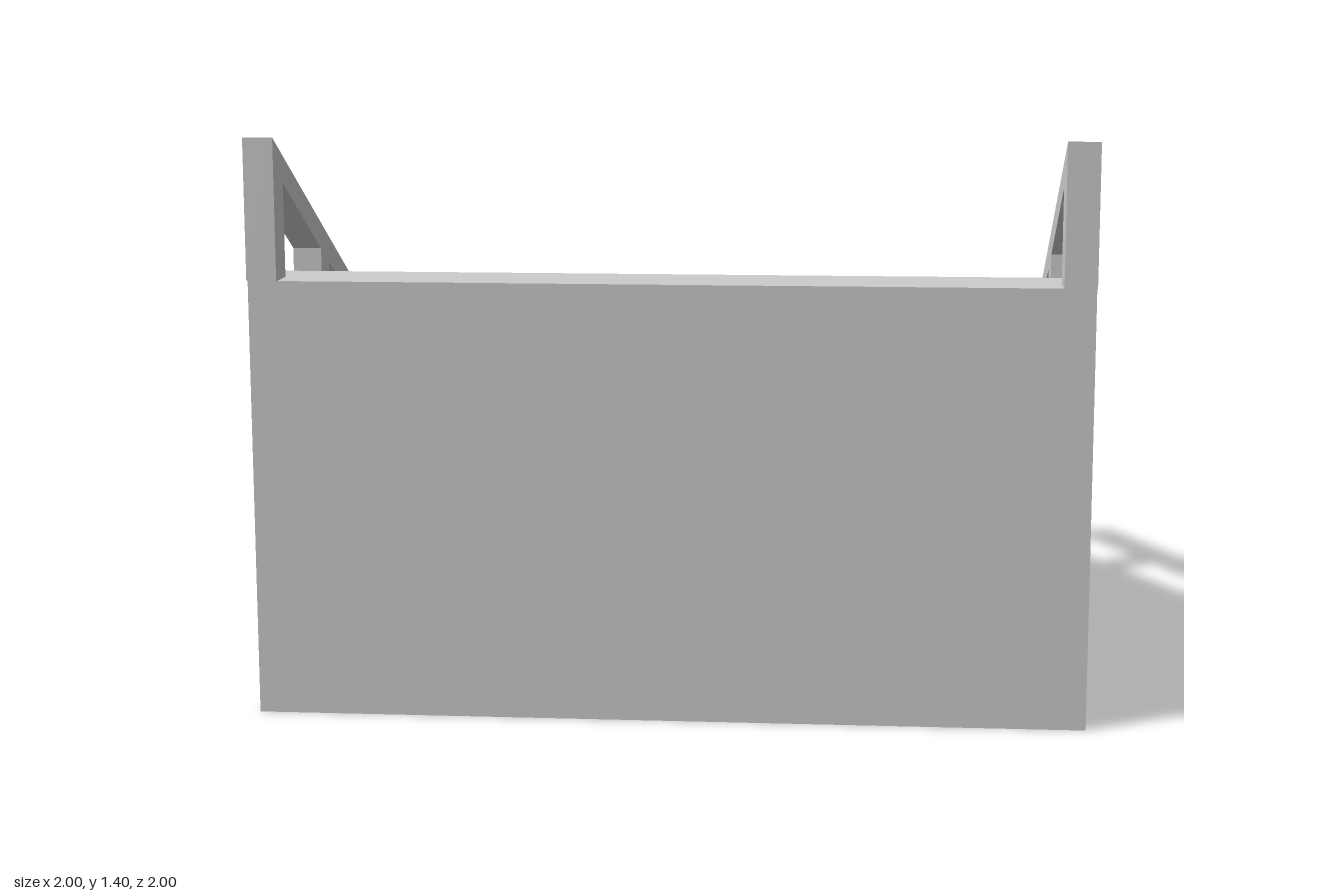
import * as THREE from 'three';

const material = new THREE.MeshStandardMaterial({ color: 0xcccccc, flatShading: true });

// Side profile of [z, y] points, extruded across x from x0 to x1.
function slab(name, profile, x0, x1) {
  const shape = new THREE.Shape(profile.map(([z, y]) => new THREE.Vector2(-z, y)));
  const geometry = new THREE.ExtrudeGeometry(shape, { depth: x1 - x0, bevelEnabled: false });
  geometry.rotateY(Math.PI / 2).translate(x0, 0, 0);
  const mesh = new THREE.Mesh(geometry, material);
  mesh.name = name;
  return mesh;
}

const STEPS = 8;
const TOP = { z: 0.79, y: 1.06 };      // edge of the landing
const BOTTOM = { z: -0.85, y: 0.12 };  // lowest nosing
const FRONT = 0.992, BACK = -0.992;
const INNER = 0.905;                   // half width of the flight

const railY = z => 0.35 + (z + 0.995) * (1.05 / 1.995);
const slopeY = z => BOTTOM.y + (z - BOTTOM.z) * (TOP.y - BOTTOM.y) / (TOP.z - BOTTOM.z);

// Solid core: apron ramp, steps and landing
function stairProfile() {
  const points = [[FRONT, 0], [BACK, 0], [BOTTOM.z, BOTTOM.y]];
  const run = (TOP.z - BOTTOM.z) / STEPS;
  const rise = (TOP.y - BOTTOM.y) / STEPS;
  for (let i = 1; i <= STEPS; i++) {
    const z = BOTTOM.z + i * run;
    points.push([z, BOTTOM.y + (i - 1) * rise], [z, BOTTOM.y + i * rise]);
  }
  points.push([FRONT, TOP.y]);
  return points;
}

// Sloping handrail with its posts, one outline open at the bottom
function railProfile() {
  const beam = 0.068;
  const windows = [[0.91, 0.535], [0.45, 0.038], [-0.047, -0.49], [-0.577, -0.905]];
  const foot = z => Math.min(slopeY(z), TOP.y) - 0.03;
  const points = [[-0.995, railY(-0.995)], [1, railY(1)], [1, TOP.y]];
  for (const [a, b] of windows) {
    points.push([a, a > 0.8 ? TOP.y : foot(a)], [a, railY(a) - beam], [b, railY(b) - beam]);
    points.push([b, b < -0.9 ? 0 : foot(b)]);
  }
  points.push([-0.995, 0]);
  return points;
}

export function createModel() {
  const model = new THREE.Group();
  model.name = 'staircase';

  model.add(slab('steps', stairProfile(), -INNER, INNER));

  // Side walls flanking the steps
  const wall = [[FRONT, 0], [BACK, 0], [BOTTOM.z, BOTTOM.y], [TOP.z, TOP.y], [FRONT, TOP.y]];
  model.add(slab('leftWall', wall, INNER, 0.999), slab('rightWall', wall, -0.999, -INNER));

  // Handrails on the walls
  const rail = railProfile();
  model.add(slab('leftHandrail', rail, 0.923, 1), slab('rightHandrail', rail, -1, -0.928));

  return model;
}
